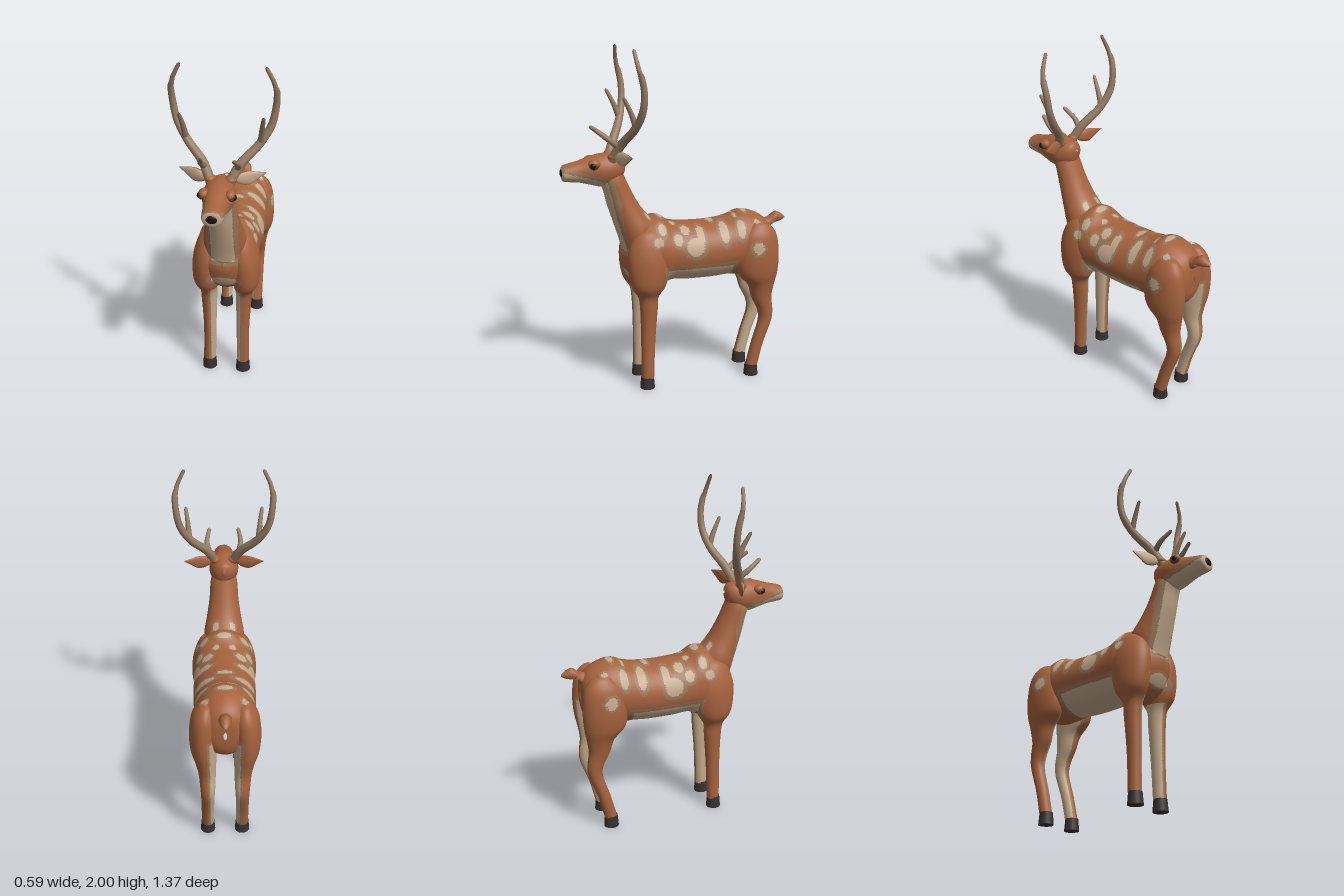
import * as THREE from 'three';

const mat = (name, color, side = THREE.FrontSide) => {
  const m = new THREE.MeshStandardMaterial({ color, side });
  m.name = name;
  return m;
};
const brown = mat('brown coat', 0xa5623d);
const tan = mat('tan patch edge', 0x9a7657);
const cream = mat('cream patch', 0xc4a98b);
const horn = mat('antler horn', 0x957c64);
const dark = mat('dark hoof', 0x383031);
const black = mat('black', 0x17120f);
const olive = mat('olive iris', 0x5f4a2a);
const COAT = [brown, tan, cream];

// Smooth skin through sections [zA, yA, zB, yB, halfWidth, centreX]; rule picks a coat index per face
function loft(name, sections, rule, steps = 60, sides = 48, mirror = 1) {
  const a = new THREE.CatmullRomCurve3(sections.map(s => new THREE.Vector3(s[4], s[1], s[0])));
  const b = new THREE.CatmullRomCurve3(sections.map(s => new THREE.Vector3((s[5] || 0) * mirror, s[3], s[2])));
  const pos = [];
  for (let i = 0; i <= steps; i++) {
    const p = a.getPoint(i / steps), q = b.getPoint(i / steps);
    for (let j = 0; j < sides; j++) {
      const t = (j / sides) * Math.PI * 2, c = Math.cos(t) / 2;
      pos.push(q.x + p.x * Math.sin(t), (p.y + q.y) / 2 + (p.y - q.y) * c, (p.z + q.z) / 2 + (p.z - q.z) * c);
    }
  }
  const lists = [[], [], []];
  const face = (...v) => {
    const m = [0, 1, 2].map(k => v.reduce((s, i) => s + pos[i * 3 + k], 0) / 3);
    lists[rule(...m)].push(...v);
  };
  for (let i = 0; i < steps; i++) {
    for (let j = 0; j < sides; j++) {
      const k = (j + 1) % sides, r = i * sides, n = r + sides;
      face(r + j, n + j, r + k);
      face(n + j, n + k, r + k);
    }
  }
  const g = new THREE.BufferGeometry();
  g.setAttribute('position', new THREE.Float32BufferAttribute(pos, 3));
  g.setIndex(lists.flat());
  let start = 0;
  lists.forEach((l, i) => { if (l.length) g.addGroup(start, l.length, i); start += l.length; });
  g.computeVertexNormals();
  const mesh = new THREE.Mesh(g, COAT);
  mesh.name = name;
  return mesh;
}

// Tapered round branch along points
function branch(name, pts, r0, r1, s) {
  const curve = new THREE.CatmullRomCurve3(pts.map(p => new THREE.Vector3(p[0] * s, p[1], p[2])));
  const n = 28, sides = 12, g = new THREE.TubeGeometry(curve, n, 1, sides);
  const p = g.attributes.position, v = new THREE.Vector3();
  for (let i = 0; i <= n; i++) {
    const t = i / n, c = curve.getPointAt(t);
    const r = (r0 + (r1 - r0) * t) * Math.sqrt(Math.min(1, (1 - t) * 14)) + 0.0005;
    for (let j = 0; j <= sides; j++) {
      const k = i * (sides + 1) + j;
      v.fromBufferAttribute(p, k).sub(c).multiplyScalar(r).add(c);
      p.setXYZ(k, v.x, v.y, v.z);
    }
  }
  const m = new THREE.Mesh(g, horn);
  m.name = name;
  return m;
}

function ball(name, material, pos, size) {
  const m = new THREE.Mesh(new THREE.SphereGeometry(1, 24, 16), material);
  m.name = name;
  m.position.set(...pos);
  m.scale.set(...size);
  return m;
}

// Coat spots, mirrored: x, y, z, then radii
const SPOTS = [
  [0, 1.02, -0.40, 0.045, 0.1, 0.018], [0.11, 0.96, -0.46, 0.02, 0.05, 0.022],
  [0.13, 0.94, -0.35, 0.06, 0.06, 0.025], [0.04, 1.01, -0.335, 0.03, 0.04, 0.01],
  [0.12, 0.93, -0.245, 0.085, 0.07, 0.028], [0, 0.98, -0.19, 0.045, 0.1, 0.018],
  [0.13, 0.93, -0.1, 0.065, 0.07, 0.025], [0.1, 0.96, -0.01, 0.035, 0.05, 0.028],
  [0.16, 0.92, 0.04, 0.04, 0.04, 0.028], [0.18, 0.87, -0.06, 0.06, 0.055, 0.055],
  [0.05, 1.01, 0.05, 0.02, 0.06, 0.018], [0, 1.04, 0.12, 0.045, 0.1, 0.02],
  [0.12, 0.96, 0.13, 0.03, 0.06, 0.026], [0.05, 1.03, 0.2, 0.02, 0.06, 0.018],
  [0.16, 0.91, 0.16, 0.05, 0.026, 0.028], [0.19, 0.83, -0.44, 0.05, 0.035, 0.035],
  [0, 0.7, 0.3, 0.075, 0.035, 0.1],
];

// Nested patches: negative depth is cream, a thin rim is tan
const tier = d => (d < 0 ? 2 : d < 0.025 ? 1 : 0);
function coat(x, y, z) {
  x = Math.abs(x);
  let best = 0;
  for (const [sx, sy, sz, rx, ry, rz] of SPOTS) {
    const d = Math.hypot((x - sx) / rx, (y - sy) / ry, (z - sz) / rz);
    best = Math.max(best, d < 1 ? 2 : d < 1.45 ? 1 : 0);
  }
  const belly = Math.max(y - 0.735, z - 0.1, -0.3 - z);
  const throat = Math.max(x - 0.065, 0.345 + (y - 0.87) * 0.3 - 0.045 - z, 0.845 - y);
  return Math.max(best, tier(belly), tier(throat));
}
const legCoat = (cx, rear) => (x, y, z) => {
  const ax = Math.abs(x);
  if (y < (rear ? 0.76 : 0.6)) return ax < cx - 0.014 ? 2 : ax < cx ? 1 : 0;
  return rear && y < 0.78 ? (ax < cx ? 1 : 0) : coat(x, y, z);
};
const headCoat = (x, y, z) => (z > 0.672 ? 2 : tier(y - 1.262 - (z - 0.45) * 0.28));

const TORSO = [
  [-0.575, 0.85, -0.575, 0.8, 0.01], [-0.565, 0.93, -0.565, 0.72, 0.08], [-0.53, 0.98, -0.53, 0.66, 0.13],
  [-0.45, 1.02, -0.45, 0.63, 0.165], [-0.38, 1.03, -0.38, 0.63, 0.172], [-0.3, 1.0, -0.3, 0.64, 0.177],
  [-0.2, 0.985, -0.2, 0.635, 0.182], [-0.05, 0.985, -0.05, 0.635, 0.182], [0.06, 1.0, 0.06, 0.64, 0.18],
  [0.13, 1.04, 0.13, 0.61, 0.18], [0.2, 1.03, 0.2, 0.6, 0.17], [0.26, 1.0, 0.27, 0.63, 0.15],
  [0.3, 0.95, 0.32, 0.7, 0.11], [0.325, 0.88, 0.345, 0.78, 0.05], [0.33, 0.85, 0.345, 0.83, 0.005],
];
const NECK = [
  [0.1, 0.98, 0.32, 0.72, 0.1], [0.17, 1.03, 0.345, 0.87, 0.122], [0.23, 1.1, 0.385, 1.0, 0.105],
  [0.285, 1.2, 0.42, 1.11, 0.088], [0.325, 1.29, 0.45, 1.22, 0.08], [0.36, 1.38, 0.49, 1.28, 0.06],
];
const HEAD = [
  [0.31, 1.36, 0.31, 1.34, 0.005], [0.33, 1.395, 0.33, 1.28, 0.05], [0.38, 1.41, 0.38, 1.24, 0.08],
  [0.45, 1.415, 0.45, 1.225, 0.088], [0.52, 1.4, 0.52, 1.24, 0.075], [0.58, 1.38, 0.58, 1.255, 0.063],
  [0.64, 1.365, 0.64, 1.262, 0.058], [0.67, 1.355, 0.672, 1.268, 0.051], [0.679, 1.33, 0.679, 1.29, 0.025],
  [0.68, 1.312, 0.68, 1.31, 0.003],
];
const TAIL = [
  [-0.68, 0.965, -0.68, 0.955, 0.006], [-0.655, 0.985, -0.65, 0.94, 0.024], [-0.62, 1.0, -0.6, 0.925, 0.034],
  [-0.57, 0.97, -0.56, 0.89, 0.037], [-0.5, 0.96, -0.5, 0.86, 0.035],
];
const FRONT_LEG = [
  [0.18, 0.06, 0.255, 0.06, 0.037, 0.103], [0.17, 0.3, 0.255, 0.3, 0.038, 0.1], [0.155, 0.5, 0.26, 0.5, 0.046, 0.103],
  [0.15, 0.57, 0.27, 0.57, 0.05, 0.105], [0.11, 0.64, 0.31, 0.64, 0.075, 0.115], [0.08, 0.75, 0.33, 0.75, 0.085, 0.113],
  [0.08, 0.85, 0.325, 0.85, 0.08, 0.105], [0.12, 0.95, 0.28, 0.95, 0.055, 0.09], [0.18, 0.99, 0.21, 0.99, 0.01, 0.08],
];
const HIND_LEG = [
  [-0.48, 0.06, -0.405, 0.06, 0.036, 0.103], [-0.515, 0.2, -0.44, 0.2, 0.037, 0.102], [-0.57, 0.36, -0.485, 0.36, 0.04, 0.1],
  [-0.572, 0.42, -0.475, 0.42, 0.044, 0.1], [-0.562, 0.5, -0.435, 0.5, 0.05, 0.103], [-0.572, 0.58, -0.41, 0.58, 0.06, 0.11],
  [-0.587, 0.66, -0.345, 0.66, 0.075, 0.12], [-0.592, 0.78, -0.33, 0.78, 0.08, 0.122], [-0.575, 0.9, -0.36, 0.9, 0.068, 0.115],
  [-0.53, 0.96, -0.42, 0.96, 0.035, 0.11], [-0.49, 0.975, -0.46, 0.975, 0.008, 0.11],
];
// Leaf-shaped ear along z
const EAR = [
  [0, 0.014, 0, -0.014, 0.012], [0.03, 0.03, 0.03, -0.036, 0.016], [0.075, 0.033, 0.075, -0.046, 0.014],
  [0.12, 0.02, 0.12, -0.026, 0.008], [0.17, 0.002, 0.17, -0.002, 0.002],
];

export function createModel() {
  const deer = new THREE.Group();
  deer.name = 'deer';
  deer.add(
    loft('torso', TORSO, coat, 150, 110),
    loft('neck', NECK, coat, 60, 64),
    loft('head', HEAD, headCoat, 60, 48),
    loft('tail', TAIL, (x, y, z) => (z < -0.59 && y < 0.945 ? 2 : z < -0.665 ? 1 : 0), 24, 24),
    ball('nose', black, [0, 1.313, 0.672], [0.033, 0.026, 0.014]),
  );

  for (const s of [1, -1]) {
    // Legs and hooves
    deer.add(loft('frontLeg', FRONT_LEG, legCoat(0.102, false), 90, 48, s));
    deer.add(loft('hindLeg', HIND_LEG, legCoat(0.1, true), 90, 48, s));
    for (const z of [0.22, -0.44]) {
      const hoof = new THREE.Mesh(new THREE.CylinderGeometry(0.038, 0.044, 0.07, 20), dark);
      hoof.name = 'hoof';
      hoof.position.set(0.103 * s, 0.035, z);
      deer.add(hoof);
    }

    // Ears, cream inside
    const ear = loft('ear', EAR, x => (x * s < -0.003 ? 2 : 0), 24, 24);
    ear.position.set(0.075 * s, 1.395, 0.38);
    ear.rotation.set(-0.15, s * 1.9, 0, 'YXZ');
    deer.add(ear);

    // Eyes
    deer.add(
      ball('eyelid', brown, [0.07 * s, 1.368, 0.503], [0.028, 0.026, 0.034]),
      ball('eye', olive, [0.077 * s, 1.36, 0.507], [0.025, 0.025, 0.028]),
      ball('pupil', black, [0.086 * s, 1.36, 0.512], [0.019, 0.018, 0.019]),
    );

    // Antlers
    const antler = new THREE.Group();
    antler.name = 'antler';
    antler.add(
      branch('mainBeam', [[0.05, 1.38, 0.4], [0.1, 1.475, 0.355], [0.19, 1.57, 0.3], [0.25, 1.67, 0.27],
        [0.272, 1.78, 0.267], [0.277, 1.895, 0.292]], 0.027, 0.016, s),
      branch('topTine', [[0.276, 1.84, 0.28], [0.262, 1.91, 0.297], [0.22, 2.0, 0.31]], 0.014, 0.009, s),
      branch('browTine', [[0.085, 1.455, 0.365], [0.1, 1.5, 0.42], [0.085, 1.557, 0.497]], 0.018, 0.01, s),
      branch('middleTine', [[0.2, 1.58, 0.295], [0.207, 1.66, 0.325], [0.22, 1.75, 0.37]], 0.018, 0.009, s),
      ball('burr', brown, [0.056 * s, 1.4, 0.392], [0.032, 0.022, 0.032]),
    );
    deer.add(antler);
  }
  return deer;
}
